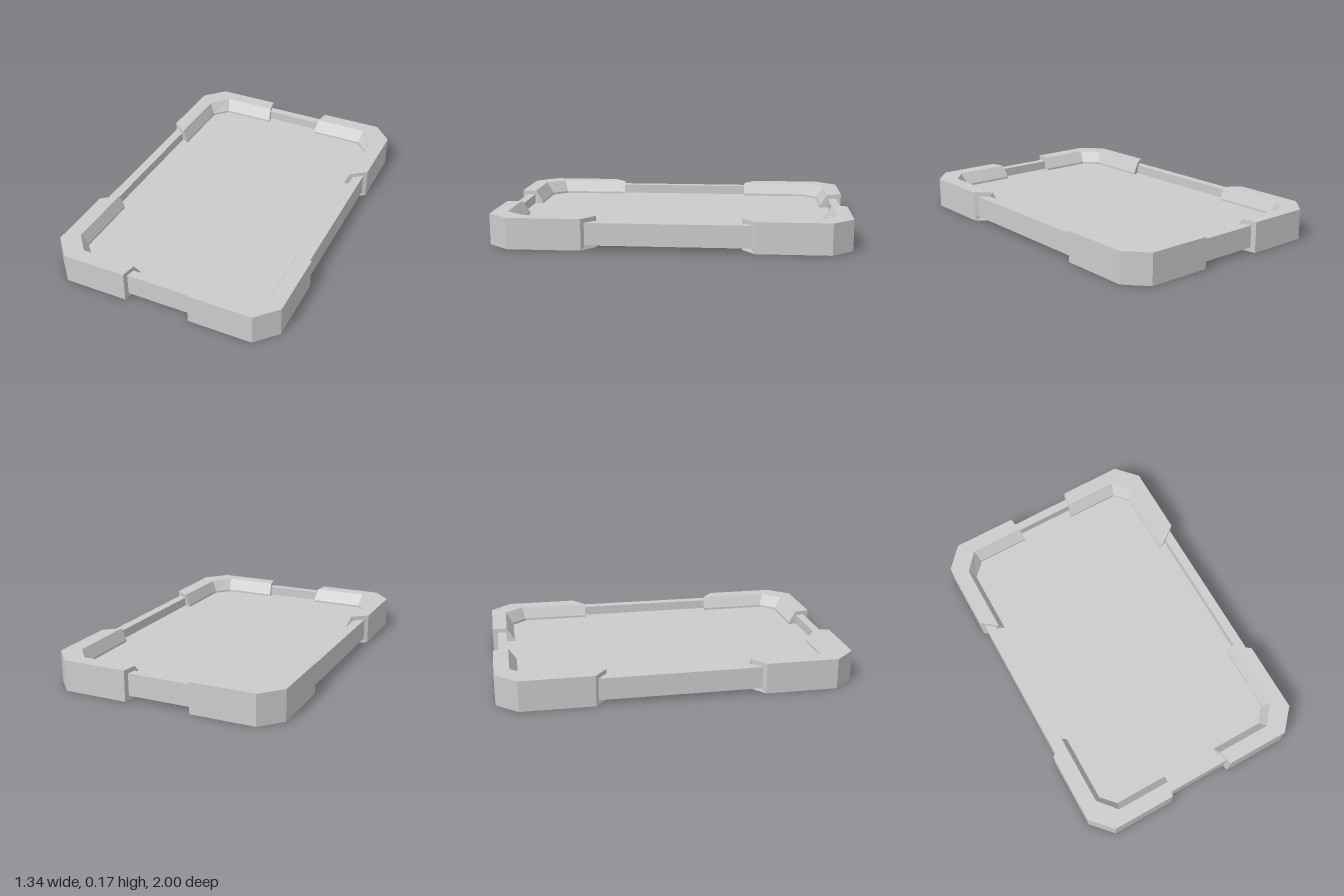
import * as THREE from 'three';

const H = 0.175;
const material = new THREE.MeshStandardMaterial({ color: 0xcccccc, flatShading: true });

// Plan outlines of a corner guard as [x, z], from the long side round to the short side
const OUTER = [[0.67, 0.47], [0.67, 0.88], [0.56, 1], [0.19, 1]];
const LIP = [[0.58, 0.4], [0.58, 0.81], [0.49, 0.915], [0.175, 0.915]];
const INNER = [[0.55, 0.4], [0.55, 0.79], [0.475, 0.87], [0.165, 0.87]];

// Cross-section as [outline, height]: flat outside, bevelled inside
const SECTION = [[OUTER, 0], [OUTER, H], [LIP, H], [INNER, 0.108], [INNER, 0.067], [LIP, 0]];

// Sweeps the section round one corner, mirrored by the signs sx and sz
function cornerGeometry(sx, sz) {
  const positions = [];
  const point = (i, j) => {
    const [outline, y] = SECTION[j % SECTION.length];
    return [outline[i][0] * sx, y, outline[i][1] * sz];
  };
  const tri = (a, b, c) => {
    const order = sx * sz > 0 ? [a, b, c] : [a, c, b];
    order.forEach((p) => positions.push(...p));
  };
  const n = SECTION.length;
  const last = OUTER.length - 1;
  for (let i = 0; i < last; i++) {
    for (let j = 0; j < n; j++) {
      tri(point(i, j), point(i, j + 1), point(i + 1, j));
      tri(point(i, j + 1), point(i + 1, j + 1), point(i + 1, j));
    }
  }
  // End caps
  for (let j = 1; j < n - 1; j++) {
    tri(point(0, 0), point(0, j + 1), point(0, j));
    tri(point(last, 0), point(last, j), point(last, j + 1));
  }
  const geometry = new THREE.BufferGeometry();
  geometry.setAttribute('position', new THREE.Float32BufferAttribute(positions, 3));
  geometry.computeVertexNormals();
  return geometry;
}

export function createModel() {
  const group = new THREE.Group();
  const add = (name, geometry, x = 0, y = 0, z = 0) => {
    const mesh = new THREE.Mesh(geometry, material);
    mesh.name = name;
    mesh.position.set(x, y, z);
    group.add(mesh);
  };

  // Thin panel set halfway up the frame
  add('panel', new THREE.BoxGeometry(1.2, 0.016, 1.86), 0, H / 2, 0);

  // Slim rails bridging the corner guards
  for (const s of [1, -1]) {
    add(s > 0 ? 'leftRail' : 'rightRail', new THREE.BoxGeometry(0.055, 0.125, 1), s * 0.6225, H / 2, 0);
    add(s > 0 ? 'frontRail' : 'backRail', new THREE.BoxGeometry(0.5, 0.125, 0.05), 0, H / 2, s * 0.945);
  }

  // Chunky corner guards
  for (const sx of [1, -1]) {
    for (const sz of [1, -1]) {
      add(`${sz > 0 ? 'front' : 'back'}${sx > 0 ? 'Left' : 'Right'}Corner`, cornerGeometry(sx, sz));
    }
  }
  return group;
}
